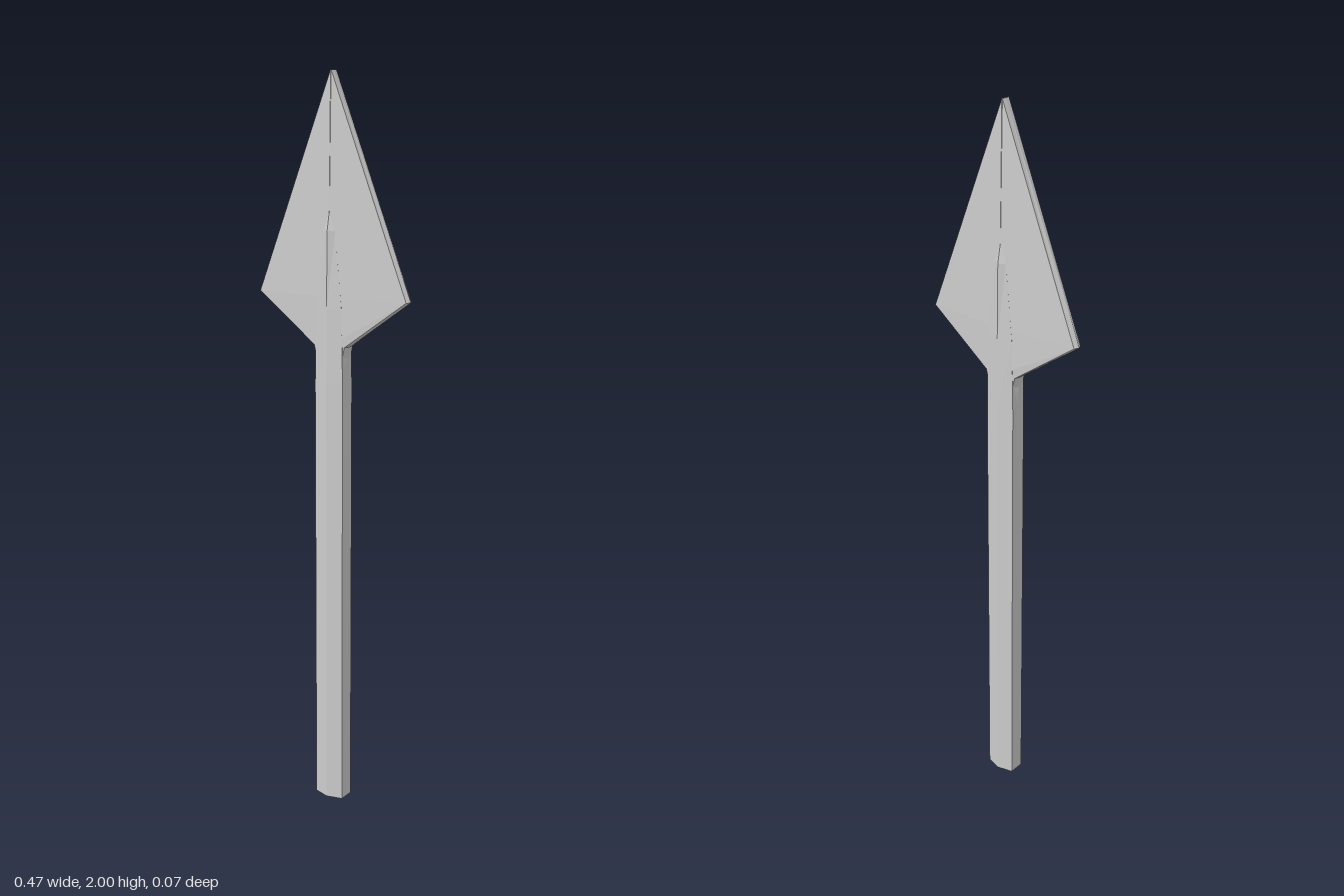
import * as THREE from 'three';

// Lofts flattened cross-sections upward; each is [y, halfWidth, centreZ, edgeZ, bevel]
function loft(name, sections) {
  const rings = sections.map(([y, w, zc, ze, b]) => [
    [0, y, zc], [w, y, ze], [w + b, y, 0], [w, y, -ze],
    [0, y, -zc], [-w, y, -ze], [-w - b, y, 0], [-w, y, ze],
  ]);
  const n = 8;
  const pos = [];
  const tri = (...points) => points.forEach((p) => pos.push(...p));
  for (let r = 0; r < rings.length - 1; r++) {
    for (let i = 0; i < n; i++) {
      const j = (i + 1) % n;
      const lo = rings[r], hi = rings[r + 1];
      tri(lo[i], lo[j], hi[j]);
      tri(lo[i], hi[j], hi[i]);
    }
  }
  // End caps
  const bottom = rings[0], top = rings[rings.length - 1];
  for (let i = 1; i < n - 1; i++) {
    tri(bottom[0], bottom[i + 1], bottom[i]);
    tri(top[0], top[i], top[i + 1]);
  }
  const geometry = new THREE.BufferGeometry();
  geometry.setAttribute('position', new THREE.Float32BufferAttribute(pos, 3));
  geometry.computeVertexNormals();
  const material = new THREE.MeshStandardMaterial({ color: 0xcccccc, flatShading: true });
  const mesh = new THREE.Mesh(geometry, material);
  mesh.name = name;
  return mesh;
}

export function createModel() {
  const group = new THREE.Group();
  group.name = 'spear';

  // Six-sided shaft, tapering into a ridge that sinks into the blade
  group.add(loft('shaft', [
    [0, 0.044, 0.034, 0.022, 0],
    [1.2, 0.044, 0.034, 0.022, 0],
    [1.4, 0.04, 0.032, 0.022, 0],
    [1.6, 0.018, 0.029, 0.019, 0],
    [1.65, 0.001, 0.019, 0.018, 0],
  ]));

  // Leaf-shaped blade with a bevelled rim and a short curved neck
  group.add(loft('blade', [
    [1.22, 0.04, 0.024, 0.02, 0.004],
    [1.27, 0.041, 0.024, 0.02, 0.005],
    [1.3, 0.048, 0.024, 0.02, 0.005],
    [1.43, 0.231, 0.023, 0.013, 0.006],
    [2, 0.001, 0.013, 0.012, 0.001],
  ]));

  return group;
}
